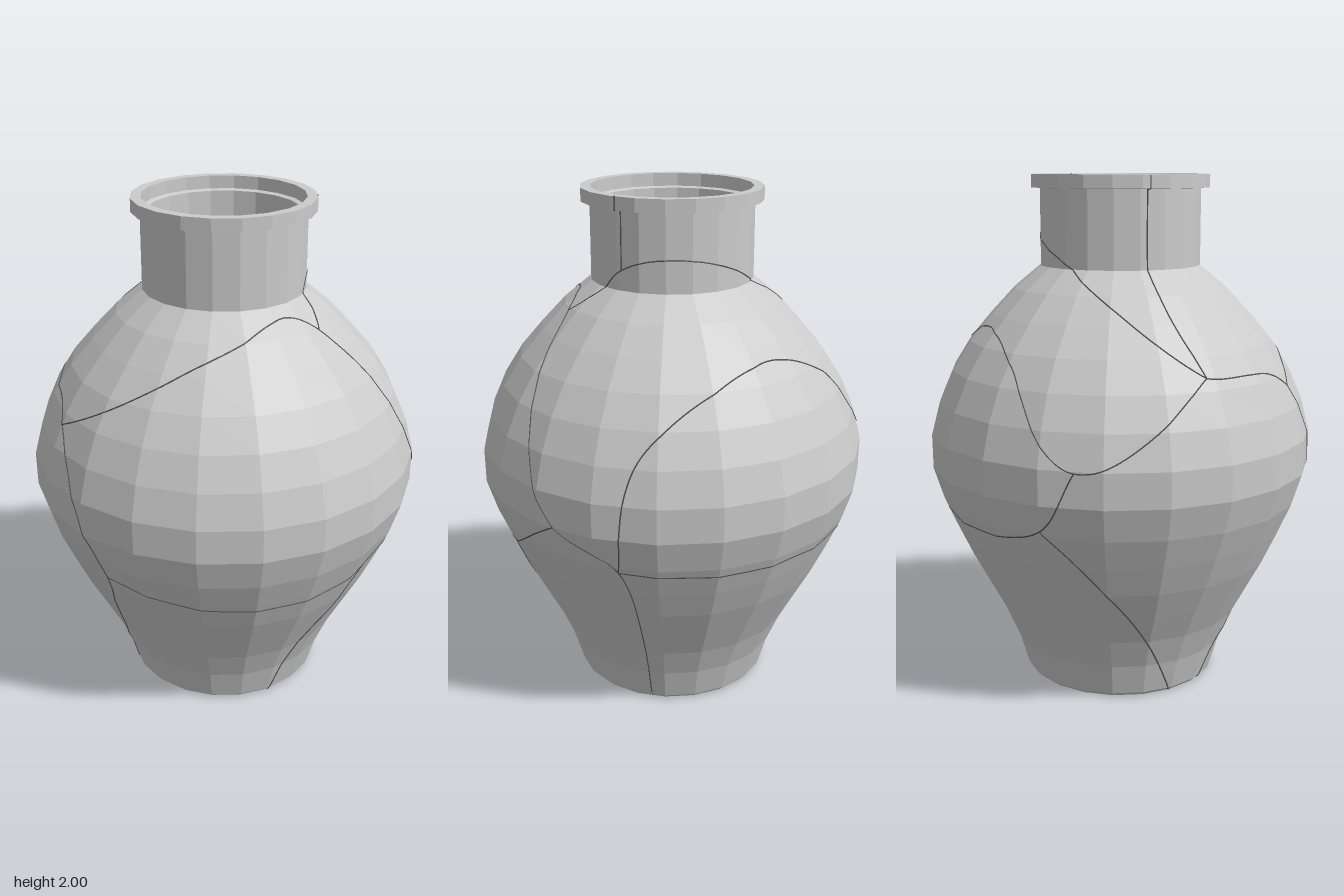
import * as THREE from 'three';

const SIDES = 20;
const rad = THREE.MathUtils.degToRad;
const V2 = (r, y) => new THREE.Vector2(r, y);

// Belly: a smooth curve sampled into rings, from the foot to the shoulder
const belly = new THREE.SplineCurve([
  V2(0.387, 0.015), V2(0.456, 0.22), V2(0.65, 0.6), V2(0.76, 0.94),
  V2(0.652, 1.285), V2(0.42, 1.565), V2(0.313, 1.655),
]).getSpacedPoints(14);
const outer = [V2(0.372, 0), ...belly, V2(0.313, 1.948), V2(0.347, 1.95), V2(0.347, 2)];

// Radius of the faceted wall at an angle (degrees from the front) and height
function wallRadius(deg, y) {
  const i = Math.max(1, outer.findIndex((p) => p.y >= y));
  const a = outer[i - 1], b = outer[i];
  const r = THREE.MathUtils.mapLinear(y, a.y, b.y, a.x, b.x);
  const half = 180 / SIDES;
  const off = THREE.MathUtils.euclideanModulo(deg, 2 * half) - half;
  return r * Math.cos(rad(half)) / Math.cos(rad(off));
}

// Points on the wall where cracks meet or bend: [angle, height]
const spots = {
  frontHigh: [-18, 1.22], frontLow: [3, 0.67], frontFoot: [-30, 0],
  rightHigh: [-57, 1.3], rightNeck: [-66, 1.6], rightLip: [-67, 2],
  leftTop: [99, 1.56], leftTopBend: [40, 1.53], leftLow: [98, 0.65],
  leftLowBend: [50, 0.6], leftFoot: [72, 0],
  backLeft: [131, 0.875], backLow: [150, 0.72], backFoot: [154, 0],
  archLeft: [157, 1.17], archTop: [200, 1.43], archRight: [234, 1.34],
  backRight: [262, 1], backRightLow: [251, 0.77], rightFoot: [305, 0],
  backLowBend: [200, 0.71], shoulder: [265, 1.56],
  neck: [130, 1.73], neckBack: [185, 1.77], neckLip: [130, 2],
};
const routes = [
  'rightHigh frontHigh frontLow frontFoot',
  'frontHigh leftTopBend leftTop backLeft backLow backFoot',
  'frontLow leftLowBend leftLow backLeft',
  'leftLow leftFoot',
  'backLow archLeft archTop archRight backRight rightHigh',
  'backLow backLowBend backRightLow backRight',
  'backRightLow rightFoot',
  'rightHigh rightNeck rightLip',
  'rightHigh shoulder neckBack neck leftTop',
  'neck neckLip',
];

// Hairline crack following the wall from one spot to the next
function wallCrack(route) {
  let last = 0;
  const bends = route.split(' ').map((name, i) => {
    const [deg, y] = spots[name];
    last = i ? deg + 360 * Math.round((last - deg) / 360) : deg;
    return new THREE.Vector3(rad(last), y, 0);
  });
  const samples = new THREE.CatmullRomCurve3(bends).getSpacedPoints(120).map((p) => {
    const y = THREE.MathUtils.clamp(p.y, 0.004, 1.997);
    const r = wallRadius(THREE.MathUtils.radToDeg(p.x), y);
    return new THREE.Vector3().setFromCylindricalCoords(r, p.x, y);
  });
  return new THREE.TubeGeometry(new THREE.CatmullRomCurve3(samples), 240, 0.003, 4);
}

// Straight crack from the middle of the base to its edge
function baseCrack(deg, y) {
  const edge = new THREE.Vector3().setFromCylindricalCoords(0.36, rad(deg), y);
  return new THREE.TubeGeometry(
    new THREE.LineCurve3(new THREE.Vector3(0.02, y, 0), edge), 1, 0.002, 4);
}

export function createModel() {
  const group = new THREE.Group();
  const clay = new THREE.MeshStandardMaterial({ color: 0xcccccc, flatShading: true });
  const dark = new THREE.MeshStandardMaterial({ color: 0x555555 });

  // Hollow vase: underside, outer wall, lip, inner wall, floor
  const inner = belly.slice(1).reverse().map((p) => V2(p.x - 0.025, p.y));
  const profile = [V2(0, 0), ...outer, V2(0.308, 2), V2(0.308, 1.95), V2(0.288, 1.945),
    ...inner, V2(0.37, 0.03), V2(0, 0.03)];
  const vase = new THREE.Mesh(new THREE.LatheGeometry(profile, SIDES), clay);
  vase.name = 'vaseBody';
  group.add(vase);

  // Cracks between the shards, on the wall, the underside and the floor
  const cracks = new THREE.Group();
  cracks.name = 'cracks';
  const lines = routes.map(wallCrack);
  for (const deg of [72, 154, 318]) lines.push(baseCrack(deg, 0.002), baseCrack(deg, 0.03));
  lines.forEach((geometry, i) => {
    const crack = new THREE.Mesh(geometry, dark);
    crack.name = `crack${i + 1}`;
    cracks.add(crack);
  });
  group.add(cracks);
  return group;
}
